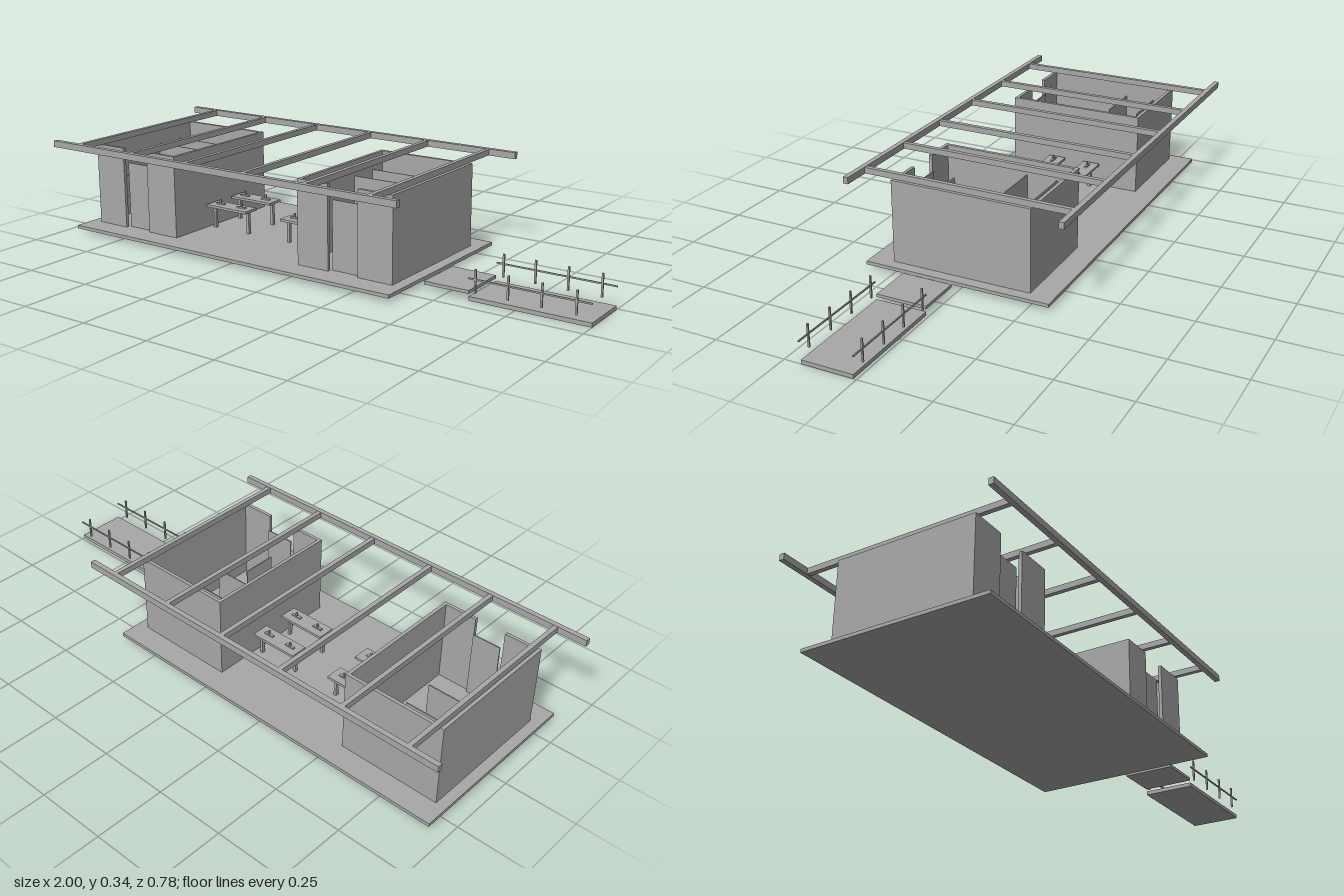
import * as THREE from 'three';

export function createModel() {
  const model = new THREE.Group();
  model.name = 'restroomPavilion';
  const grey = new THREE.MeshStandardMaterial({ color: 0xa8a8a8 });
  grey.name = 'concreteGrey';

  // Box given by its lower and upper limits on each axis
  function box(name, x0, x1, y0, y1, z0, z1, parent = model) {
    const mesh = new THREE.Mesh(new THREE.BoxGeometry(x1 - x0, y1 - y0, z1 - z0), grey);
    mesh.position.set((x0 + x1) / 2, (y0 + y1) / 2, (z0 + z1) / 2);
    mesh.name = name;
    parent.add(mesh);
    return mesh;
  }
  function group(name) {
    const g = new THREE.Group();
    g.name = name;
    model.add(g);
    return g;
  }

  const floorY = 0.027, wallTop = 0.32;
  box('floorSlab', -0.945, 0.4, 0.015, floorY, -0.32, 0.35);

  // Open roof frame: two long beams and six rafters
  const roof = group('roofFrame');
  for (const s of [-1, 1]) {
    const z = s * 0.381;
    box('longBeam', -1, 0.45, 0.32, 0.343, z - 0.009, z + 0.009, roof);
  }
  for (let i = 0; i < 6; i++) {
    const x = -0.888 + i * 0.246;
    box('rafter', x - 0.008, x + 0.008, 0.321, 0.342, -0.372, 0.372, roof);
  }

  // Two roofless rooms, each with a low door in the front wall
  const t = 0.012;
  function room(name, x0, x1, doorX0, doorX1) {
    const g = group(name);
    const zb = -0.237, zf = 0.267;
    box('backWall', x0, x1, floorY, wallTop, zb, zb + t, g);
    box('sideWall', x0, x0 + t, floorY, wallTop, zb + t, zf - t, g);
    box('sideWall', x1 - t, x1, floorY, wallTop, zb + t, zf - t, g);
    box('frontWall', x0, doorX0, floorY, wallTop, zf - t, zf, g);
    box('frontWall', doorX1, x1, floorY, wallTop, zf - t, zf, g);
    box('door', doorX0 + 0.006, doorX1 - 0.003, floorY, 0.265, 0.246, 0.25, g);
    // Stall partitions
    for (const z of [-0.162, -0.05]) {
      box('stallPartition', x0 + t, x0 + 0.19, floorY, 0.265, z - 0.002, z + 0.002, g);
    }
    // Toilets against the back wall
    for (const x of [x0 + 0.078, x0 + 0.19]) {
      box('toiletTank', x - 0.02, x + 0.02, 0.06, 0.11, -0.21, -0.195, g);
      box('toiletBowl', x - 0.02, x + 0.02, floorY, 0.07, -0.187, -0.145, g);
    }
    return g;
  }
  const west = room('westRoom', -0.908, -0.54, -0.78, -0.668);
  const east = room('eastRoom', -0.008, 0.36, 0.113, 0.228);

  // Wall panels and loose fittings
  for (const z of [0.055, 0.14]) {
    box('wallPanel', -0.884, -0.879, 0.1, 0.18, z - 0.02, z + 0.02, west);
  }
  box('changingBench', 0.245, 0.325, floorY, 0.09, -0.19, -0.11, east);
  box('washBasin', 0.1, 0.155, 0.09, 0.11, 0.045, 0.09, east);
  box('screen', 0.168, 0.172, floorY, 0.2, 0.075, 0.2, east);
  box('wallPanel', 0.006, 0.011, 0.1, 0.18, 0.11, 0.2, east);
  box('innerPanel', 0.005, 0.06, floorY, 0.2, 0.23, 0.236, east);

  // Four counters with legs and small taps
  for (const x0 of [-0.53, -0.198]) {
    for (const z0 of [-0.092, 0.048]) {
      const g = group('counter');
      const x1 = x0 + 0.178, z = z0 + 0.032;
      box('counterTop', x0, x1, 0.107, 0.116, z0, z0 + 0.064, g);
      for (const x of [x0 + 0.015, x1 - 0.012]) {
        box('counterLeg', x - 0.005, x + 0.005, floorY, 0.107, z - 0.006, z + 0.006, g);
      }
      for (const x of [x0 + 0.04, x0 + 0.135]) {
        box('tapStem', x - 0.003, x + 0.003, 0.116, 0.135, z - 0.003, z + 0.003, g);
        box('tapHandle', x - 0.018, x + 0.018, 0.116, 0.121, z - 0.005, z + 0.005, g);
      }
    }
  }

  // Landing and lower walkway with railings
  const walk = group('walkway');
  box('landing', 0.43, 0.59, 0.022, 0.033, 0.01, 0.19, walk);
  box('lowerWalkway', 0.59, 1, 0, 0.014, 0.01, 0.19, walk);
  for (const z of [0.008, 0.194]) {
    box('handrail', 0.59, 1, 0.072, 0.077, z - 0.002, z + 0.002, walk);
    for (let i = 0; i < 4; i++) {
      const x = 0.615 + i * 0.112;
      box('railPost', x - 0.003, x + 0.003, 0.03, 0.108, z - 0.003, z + 0.003, walk);
    }
  }

  return model;
}
